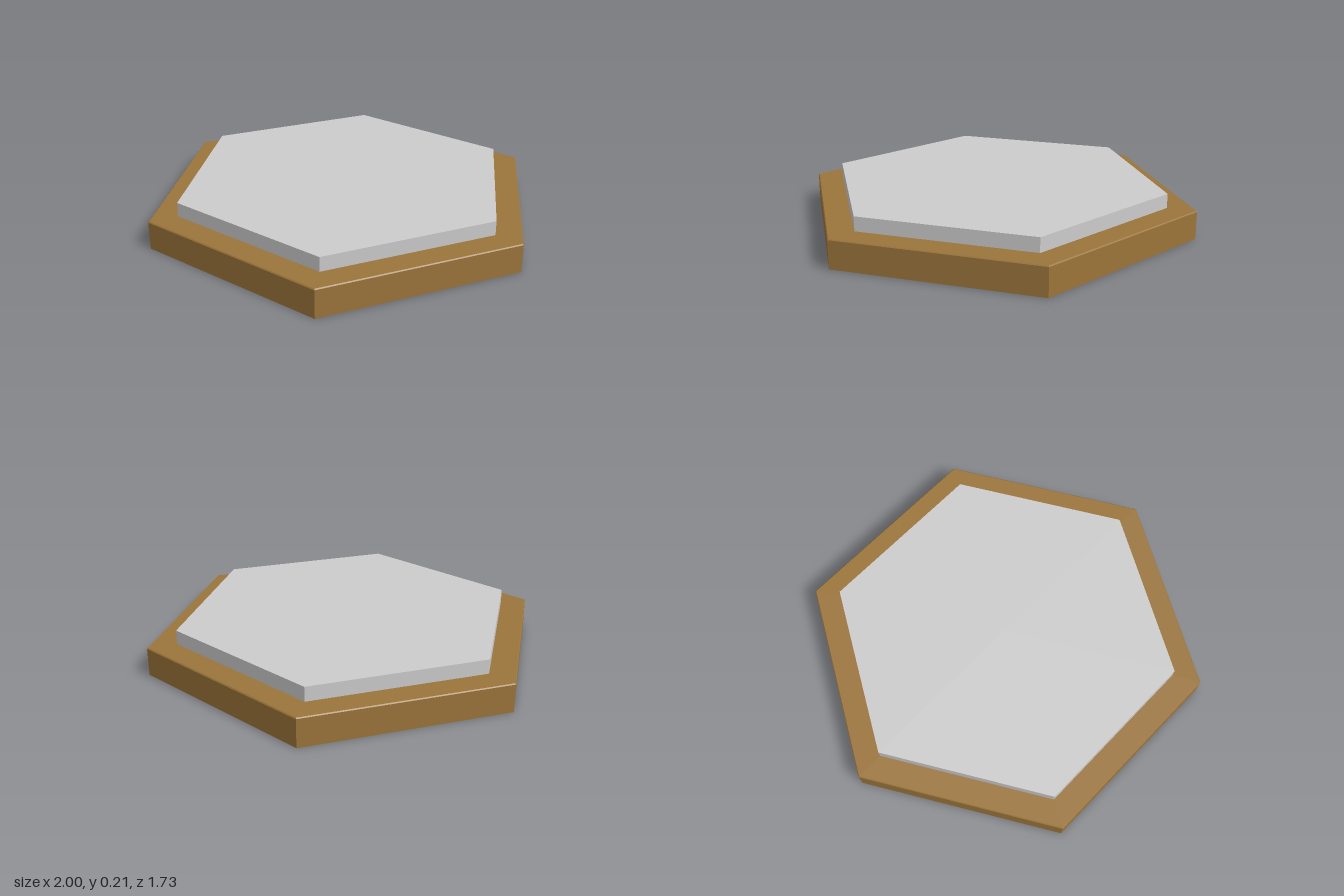
import * as THREE from 'three';

// Solid hexagonal slab with corners on the x axis, from a [radius, y] profile
function hexSlab(name, color, profile) {
  const points = profile.map(([r, y]) => new THREE.Vector2(r, y));
  const geometry = new THREE.LatheGeometry(points, 6, Math.PI / 2);
  const material = new THREE.MeshStandardMaterial({ color, flatShading: true });
  const mesh = new THREE.Mesh(geometry, material);
  mesh.name = name;
  return mesh;
}

export function createModel() {
  const group = new THREE.Group();
  group.name = 'hexTile';

  // Wide brown base with a hairline chamfer around its top edge
  group.add(hexSlab('base', 0x9b743a, [
    [0, 0], [1, 0], [1, 0.138], [0.995, 0.143], [0, 0.143],
  ]));

  // Smaller grey plate resting on the base
  group.add(hexSlab('topPlate', 0xcccccc, [
    [0, 0.143], [0.857, 0.143], [0.857, 0.214], [0, 0.214],
  ]));

  return group;
}
